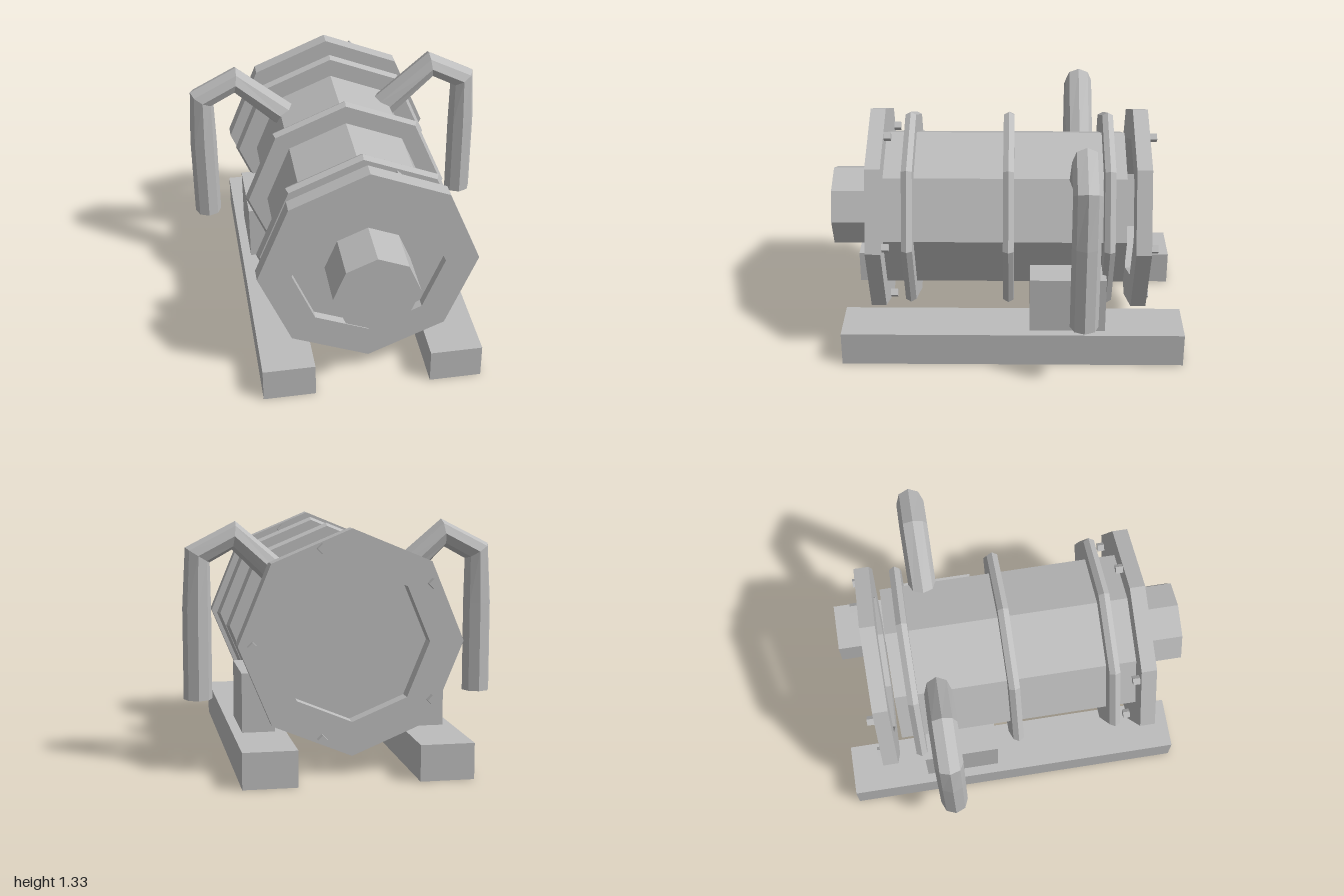
import * as THREE from 'three';

const CENTRE_Y = 0.705;

export function createModel() {
  const model = new THREE.Group();
  model.name = 'tankOnSkids';
  const grey = new THREE.MeshStandardMaterial({ color: 0xbcbcbc, flatShading: true });
  grey.name = 'plain grey';

  function add(name, geometry, x = 0, y = 0, z = 0, parent = model) {
    const mesh = new THREE.Mesh(geometry, grey);
    mesh.name = name;
    mesh.position.set(x, y, z);
    parent.add(mesh);
    return mesh;
  }

  // Solid prism along z between two depths
  function prism(radius, z0, z1, sides = 8) {
    return new THREE.CylinderGeometry(radius, radius, z1 - z0, sides)
      .rotateX(Math.PI / 2)
      .translate(0, 0, (z0 + z1) / 2);
  }

  // Eight-sided ring about z from [radius, depth] pairs
  function ring(profile) {
    return new THREE.LatheGeometry(profile.map(([r, z]) => new THREE.Vector2(r, z)), 8)
      .rotateX(Math.PI / 2);
  }

  // Capped eight-sided pipe along a path in the xy plane
  function pipe(path, radius) {
    const sides = 8, pos = [], idx = [], last = path.length - 1;
    path.forEach(([x, y], i) => {
      const dir = (a, b) => new THREE.Vector2(b[0] - a[0], b[1] - a[1]).normalize();
      const t = new THREE.Vector2();
      if (i > 0) t.add(dir(path[i - 1], path[i]));
      if (i < last) t.add(dir(path[i], path[i + 1]));
      t.normalize();
      for (let j = 0; j < sides; j++) {
        const a = (j / sides) * Math.PI * 2;
        const c = Math.cos(a) * radius;
        pos.push(x + t.y * c, y - t.x * c, Math.sin(a) * radius);
      }
    });
    for (let i = 0; i < last; i++) {
      for (let j = 0; j < sides; j++) {
        const a = i * sides + j, b = i * sides + (j + 1) % sides;
        idx.push(a, a + sides, b, b, a + sides, b + sides);
      }
    }
    const e = last * sides;
    for (let j = 1; j < sides - 1; j++) {
      idx.push(0, j, j + 1, e, e + j + 1, e + j);
    }
    const g = new THREE.BufferGeometry();
    g.setAttribute('position', new THREE.Float32BufferAttribute(pos, 3));
    g.setIndex(idx);
    g.computeVertexNormals();
    return g;
  }

  // Tank body and front shaft
  add('body', prism(0.46, -0.665, 0.72), 0, CENTRE_Y);
  add('frontShaft', prism(0.235, 0.7, 1.0), 0, CENTRE_Y);

  // Bevelled hoops around the body
  for (const z of [0.545, -0.01, -0.565]) {
    add('hoop', ring([
      [0.44, -0.03], [0.568, -0.03], [0.585, 0], [0.568, 0.03], [0.44, 0.03],
    ]), 0, CENTRE_Y, z);
  }

  // End flanges, each with five bolts on its rear face
  for (const [name, z] of [['frontFlange', 0.685], ['rearFlange', -0.79]]) {
    const flange = new THREE.Group();
    flange.name = name;
    flange.position.set(0, CENTRE_Y, z);
    model.add(flange);
    add('flangeRing', ring([
      [0.42, 0], [0.605, 0], [0.605, 0.085], [0.42, 0.085], [0.42, 0],
    ]), 0, 0, 0, flange);
    for (let i = 0; i < 5; i++) {
      const a = (i / 5) * Math.PI * 2;
      add('bolt', prism(0.027, -0.04, 0.02, 4), 0.53 * Math.cos(a), 0.53 * Math.sin(a), 0, flange);
    }
  }

  // Skids, saddles and bent pipes on both sides
  for (const [side, s] of [['left', 1], ['right', -1]]) {
    add(side + 'Skid', new THREE.BoxGeometry(0.29, 0.195, 1.93), s * 0.467, 0.0975, -0.035);
    add(side + 'Saddle', new THREE.BoxGeometry(0.18, 0.335, 0.425), s * 0.47, 0.3525, -0.3425);
    const path = [[0.785, 0.365], [0.785, 0.865], [0.778, 1.152], [0.582, 1.255], [0.3, 1.0]];
    add(side + 'Pipe', pipe(path.map(([x, y]) => [s * x, y]), 0.078), 0, 0, -0.423);
  }

  return model;
}
